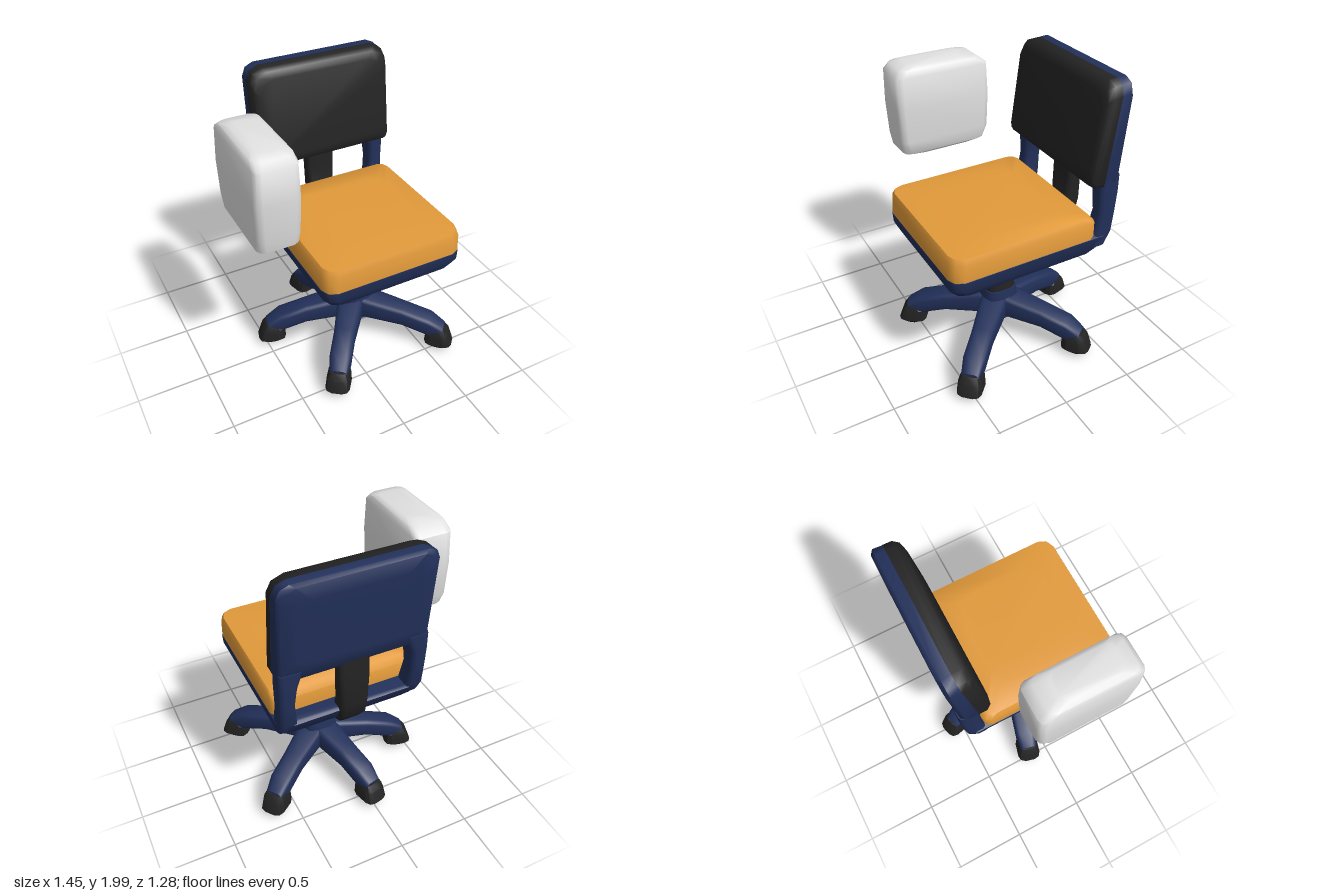
import * as THREE from 'three';
import { toCreasedNormals } from 'three/addons/utils/BufferGeometryUtils.js';

const mat = (name, color) => {
  const m = new THREE.MeshStandardMaterial({ color });
  m.name = name;
  return m;
};

// Ways to place a section (u, v) at distance t along the loft
const upward = (t, u, v) => [u, t, v];
const backward = (t, u, v) => [u, v, -t];
const outward = (t, u, v) => [t, v, u];

// Rectangle with rounded corners: c0 at the low v side, c1 at the high v side
function section(u0, u1, v0, v1, c0, c1) {
  const k = 0.3;
  return [
    [u0 + c0, v0], [u1 - c0, v0], [u1 - k * c0, v0 + k * c0], [u1, v0 + c0],
    [u1, v1 - c1], [u1 - k * c1, v1 - k * c1], [u1 - c1, v1], [u0 + c1, v1],
    [u0 + k * c1, v1 - k * c1], [u0, v1 - c1], [u0, v0 + c0], [u0 + k * c0, v0 + k * c0],
  ];
}

// Closed solid through rows of [t, u0, u1, v0, v1, c0, c1]
function loft(rows, place, crease = 0.9) {
  const pos = [], idx = [], n = 12;
  rows.forEach(([t, u0, u1, v0, v1, c0, c1 = c0]) =>
    section(u0, u1, v0, v1, c0, c1).forEach(([u, v]) => pos.push(...place(t, u, v))));
  for (let i = 0; i < rows.length - 1; i++) {
    for (let j = 0; j < n; j++) {
      const a = i * n + j, b = i * n + (j + 1) % n;
      idx.push(a, b + n, b, a, a + n, b + n);
    }
  }
  const top = (rows.length - 1) * n;
  for (let j = 1; j < n - 1; j++) idx.push(0, j, j + 1, top, top + j + 1, top + j);
  const g = new THREE.BufferGeometry();
  g.setAttribute('position', new THREE.Float32BufferAttribute(pos, 3));
  g.setIndex(idx);
  return toCreasedNormals(g, crease);
}

export function createModel() {
  const navy = mat('navy plastic', 0x22305a);
  const black = mat('black', 0x232323);
  const orange = mat('orange fabric', 0xe29a3a);
  const grey = mat('light grey', 0xe2e2e2);

  const model = new THREE.Group();
  model.name = 'officeChair';
  const add = (name, geometry, material, parent = model) => {
    const mesh = new THREE.Mesh(geometry, material);
    mesh.name = name;
    parent.add(mesh);
    return mesh;
  };

  // Seat pan and cushion
  add('seatPan', loft([
    [0.795, -0.16, 0.44, -0.3, 0.42, 0.12],
    [0.825, -0.33, 0.61, -0.46, 0.58, 0.09],
    [0.88, -0.355, 0.635, -0.505, 0.605, 0.07],
    [0.95, -0.365, 0.64, -0.535, 0.61, 0.06, 0.08],
    [0.965, -0.345, 0.62, -0.52, 0.58, 0.06, 0.08],
  ], upward), navy);
  add('seatCushion', loft([
    [0.945, -0.362, 0.638, -0.42, 0.609, 0.05, 0.08],
    [1.07, -0.36, 0.636, -0.42, 0.603, 0.05, 0.08],
    [1.108, -0.345, 0.622, -0.385, 0.59, 0.06, 0.08],
    [1.122, -0.2, 0.48, -0.22, 0.42, 0.12],
  ], upward), orange);

  // Backrest: both layers lean back as they rise
  const lean = (k) => (t, u, v) => backward(t + k * (v - 1.32), u, v);
  add('backCushion', loft([
    [0.338, -0.31, 0.59, 1.39, 1.93, 0.06, 0.1],
    [0.35, -0.345, 0.625, 1.34, 1.975, 0.04, 0.1],
    [0.385, -0.36, 0.64, 1.318, 1.995, 0.03, 0.09],
    [0.44, -0.36, 0.64, 1.318, 1.998, 0.03, 0.09],
  ], lean(0.13)), black);
  add('backShell', loft([
    [0.438, -0.358, 0.638, 1.31, 1.995, 0.03, 0.09],
    [0.53, -0.358, 0.638, 1.31, 1.998, 0.03, 0.08],
    [0.553, -0.34, 0.62, 1.325, 1.98, 0.04, 0.09],
    [0.56, -0.25, 0.53, 1.42, 1.88, 0.08, 0.1],
  ], lean(0.09)), navy);

  // Side uprights, mirrored about the middle of the seat
  for (const side of [-1, 1]) {
    const row = (y, inner, z0, z1) => {
      const a = 0.14 + side * 0.498, b = 0.14 + side * inner;
      return [y, Math.min(a, b), Math.max(a, b), z0, z1, 0.03];
    };
    add(side < 0 ? 'rightUpright' : 'leftUpright', loft([
      row(0.88, 0.36, -0.5, -0.38), row(0.97, 0.38, -0.545, -0.41),
      row(1.12, 0.395, -0.56, -0.435), row(1.26, 0.38, -0.57, -0.43),
      row(1.38, 0.34, -0.57, -0.44),
    ], upward), navy);
  }

  // Black strut from under the pan to the backrest
  add('backStrut', loft([
    [0.82, 0.06, 0.23, -0.5, -0.38, 0.03],
    [0.88, 0.05, 0.24, -0.545, -0.4, 0.03],
    [1.0, 0.05, 0.24, -0.57, -0.45, 0.03],
    [1.2, 0.04, 0.25, -0.565, -0.46, 0.03],
    [1.36, 0.04, 0.25, -0.555, -0.46, 0.03],
  ], upward), black);

  // Gas column and the bracket under the seat
  add('column', loft([
    [0.36, 0.035, 0.255, -0.075, 0.145, 0.06],
    [0.5, 0.035, 0.245, -0.075, 0.145, 0.06],
    [0.66, 0.04, 0.23, -0.07, 0.14, 0.05],
    [0.82, 0.01, 0.25, -0.075, 0.145, 0.05],
  ], upward), black);
  add('seatBracket', loft([
    [0.67, 0.06, 0.15, -0.085, -0.04, 0.01],
    [0.76, -0.01, 0.18, -0.11, 0.03, 0.02],
    [0.82, -0.15, 0.22, -0.17, 0.08, 0.04],
  ], upward), navy);

  // Five-legged base
  const cx = 0.14, cz = 0.03;
  const base = new THREE.Group();
  base.name = 'base';
  model.add(base);
  add('hub', loft([
    [0.19, 0.01, 0.27, -0.1, 0.16, 0.08],
    [0.34, 0.01, 0.27, -0.1, 0.16, 0.08],
    [0.43, 0.03, 0.26, -0.08, 0.15, 0.06],
  ], upward), navy, base);
  const feet = [[0.62, -0.33], [0.61, 0.49], [-0.23, 0.52], [-0.44, -0.13], [0, -0.53]];
  for (const [x, z] of feet) {
    const r = Math.hypot(x - cx, z - cz);
    const leg = new THREE.Group();
    leg.name = 'leg';
    leg.position.set(cx, 0, cz);
    leg.rotation.y = -Math.atan2(z - cz, x - cx);
    base.add(leg);
    add('legArm', loft([
      [0, -0.09, 0.09, 0.2, 0.385, 0.03],
      [0.14, -0.09, 0.09, 0.195, 0.36, 0.03],
      [r * 0.6, -0.075, 0.075, 0.175, 0.315, 0.03],
      [r * 0.9, -0.075, 0.075, 0.125, 0.268, 0.03],
      [r + 0.04, -0.06, 0.06, 0.11, 0.2, 0.03],
    ], outward), navy, leg);
    add('caster', loft([
      [0.008, r - 0.03, r + 0.06, -0.045, 0.045, 0.03],
      [0.055, r - 0.09, r + 0.11, -0.085, 0.085, 0.05],
      [0.14, r - 0.085, r + 0.08, -0.078, 0.078, 0.04],
      [0.185, r - 0.04, r + 0.05, -0.06, 0.06, 0.03],
    ], upward, 0.4), black, leg);
  }

  // Rounded pad floating beside the backrest
  add('sidePad', loft([
    [1.248, -0.67, -0.46, -0.1, 0.32, 0.05],
    [1.272, -0.705, -0.432, -0.19, 0.425, 0.05],
    [1.36, -0.708, -0.425, -0.222, 0.44, 0.045],
    [1.6, -0.714, -0.42, -0.23, 0.452, 0.045],
    [1.82, -0.706, -0.428, -0.222, 0.45, 0.045],
    [1.868, -0.695, -0.44, -0.16, 0.41, 0.05],
    [1.886, -0.66, -0.47, -0.07, 0.34, 0.05],
  ], upward), grey);

  return model;
}
